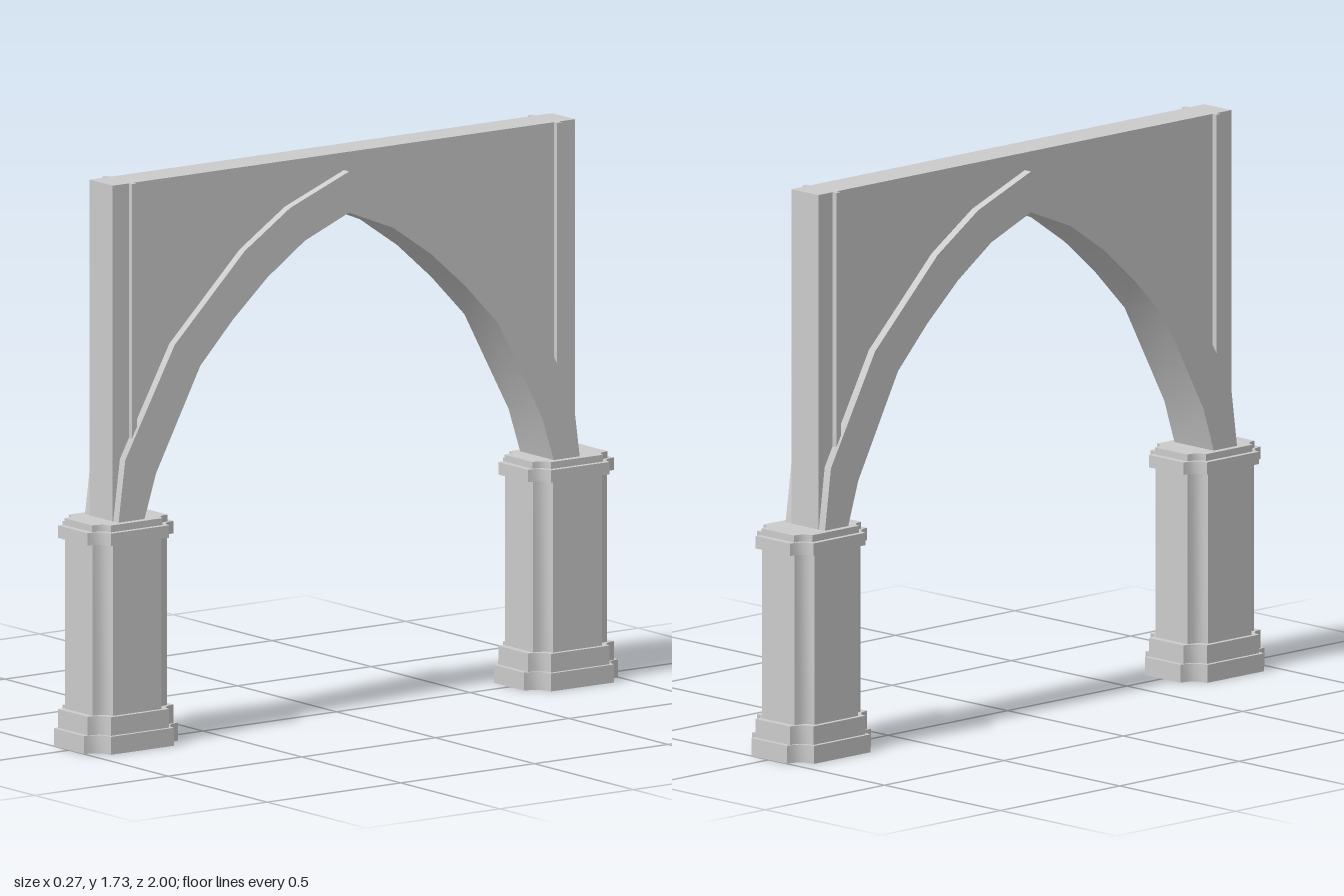
import * as THREE from 'three';
import { toCreasedNormals } from 'three/addons/utils/BufferGeometryUtils.js';

const material = new THREE.MeshStandardMaterial({ color: 0xcccccc, side: THREE.DoubleSide });
const ARCH_Z = 0.013; // centre of the span
const SPRING_Y = 0.695;
const TOP_Y = 1.725;

// Half profiles of the arch, from springing to apex: [distance from centre, height]
const OUTER = [[0.863, SPRING_Y], [0.838, 0.884], [0.653, 1.216], [0.391, 1.473], [0.221, 1.585], [0, 1.671]];
const INNER = [[0.766, SPRING_Y], [0.723, 0.83], [0.557, 1.141], [0.434, 1.269], [0.306, 1.382], [0.166, 1.478], [0, 1.545]];

function mesh(name, geometry) {
  const m = new THREE.Mesh(toCreasedNormals(geometry, 0.5), material);
  m.name = name;
  return m;
}

// Full curve from +z springing over the apex to -z springing
function fullCurve(half) {
  const mirrored = half.slice(0, -1).reverse().map(([d, y]) => [-d, y]);
  return half.concat(mirrored).map(([d, y]) => new THREE.Vector2(d, y));
}

// Extrude a (z, y) outline across x, between x0 and x1
function acrossX(points, x0, x1) {
  const g = new THREE.ExtrudeGeometry(new THREE.Shape(points), { depth: x1 - x0, bevelEnabled: false });
  g.rotateY(-Math.PI / 2); // shape x -> z, depth -> -x
  g.translate(x1, 0, ARCH_Z);
  return g;
}

// Rectangular slab with coved corners, lying between y0 and y1
function covedSlab(name, halfX, halfZ, corner, y0, y1) {
  const fx = halfX - corner[0], fz = halfZ - corner[1];
  const k = 0.9; // depth of the cove
  const cx = halfX - corner[0] * (0.5 + k / 2), cz = halfZ - corner[1] * (0.5 + k / 2);
  const s = new THREE.Shape();
  s.moveTo(halfX, -fz);
  s.lineTo(halfX, fz);
  s.quadraticCurveTo(cx, cz, fx, halfZ);
  s.lineTo(-fx, halfZ);
  s.quadraticCurveTo(-cx, cz, -halfX, fz);
  s.lineTo(-halfX, -fz);
  s.quadraticCurveTo(-cx, -cz, -fx, -halfZ);
  s.lineTo(fx, -halfZ);
  s.quadraticCurveTo(cx, -cz, halfX, -fz);
  const g = new THREE.ExtrudeGeometry(s, { depth: y1 - y0, bevelEnabled: false, curveSegments: 4 });
  g.rotateX(-Math.PI / 2);
  g.translate(0, y0, 0);
  return mesh(name, g);
}

function createPier(name, z) {
  const pier = new THREE.Group();
  pier.name = name;
  pier.add(
    covedSlab('plinth', 0.134, 0.176, [0.058, 0.058], 0, 0.055),
    covedSlab('baseMoulding', 0.122, 0.161, [0.048, 0.052], 0.055, 0.112),
    covedSlab('shaft', 0.108, 0.139, [0.038, 0.048], 0.112, 0.637),
    covedSlab('capital', 0.122, 0.161, [0.048, 0.052], 0.637, 0.675),
    covedSlab('abacus', 0.106, 0.141, [0.036, 0.044], 0.675, 0.696),
  );
  pier.position.set(-0.002, 0, z);
  return pier;
}

export function createModel() {
  const model = new THREE.Group();
  model.name = 'archway';

  model.add(createPier('frontPier', 0.824), createPier('backPier', -0.824));

  // Pointed arch band
  const band = fullCurve(OUTER).concat(fullCurve(INNER).reverse());
  model.add(mesh('archBand', acrossX(band, -0.088, 0.082)));

  // Wall above the arch; its lower edge is hidden inside the band
  const hidden = OUTER.map(([d, y], i) => (i === 0 ? [d - 0.04, y] : [Math.max(0, d - 0.03), y - 0.04]));
  const wall = fullCurve(hidden).reverse();
  wall.push(
    new THREE.Vector2(0.865, SPRING_Y), new THREE.Vector2(0.865, TOP_Y),
    new THREE.Vector2(-0.865, TOP_Y), new THREE.Vector2(-0.865, SPRING_Y),
  );
  model.add(mesh('spandrelWall', acrossX(wall, -0.061, 0.055)));

  // Slim upright fillets near both ends, on both faces of the wall
  for (const z of [0.808, -0.783]) {
    const fillet = new THREE.BoxGeometry(0.148, TOP_Y - 0.93, 0.018);
    fillet.translate(-0.004, (TOP_Y + 0.93) / 2, z);
    model.add(mesh('wallFillet', fillet));
  }
  return model;
}
